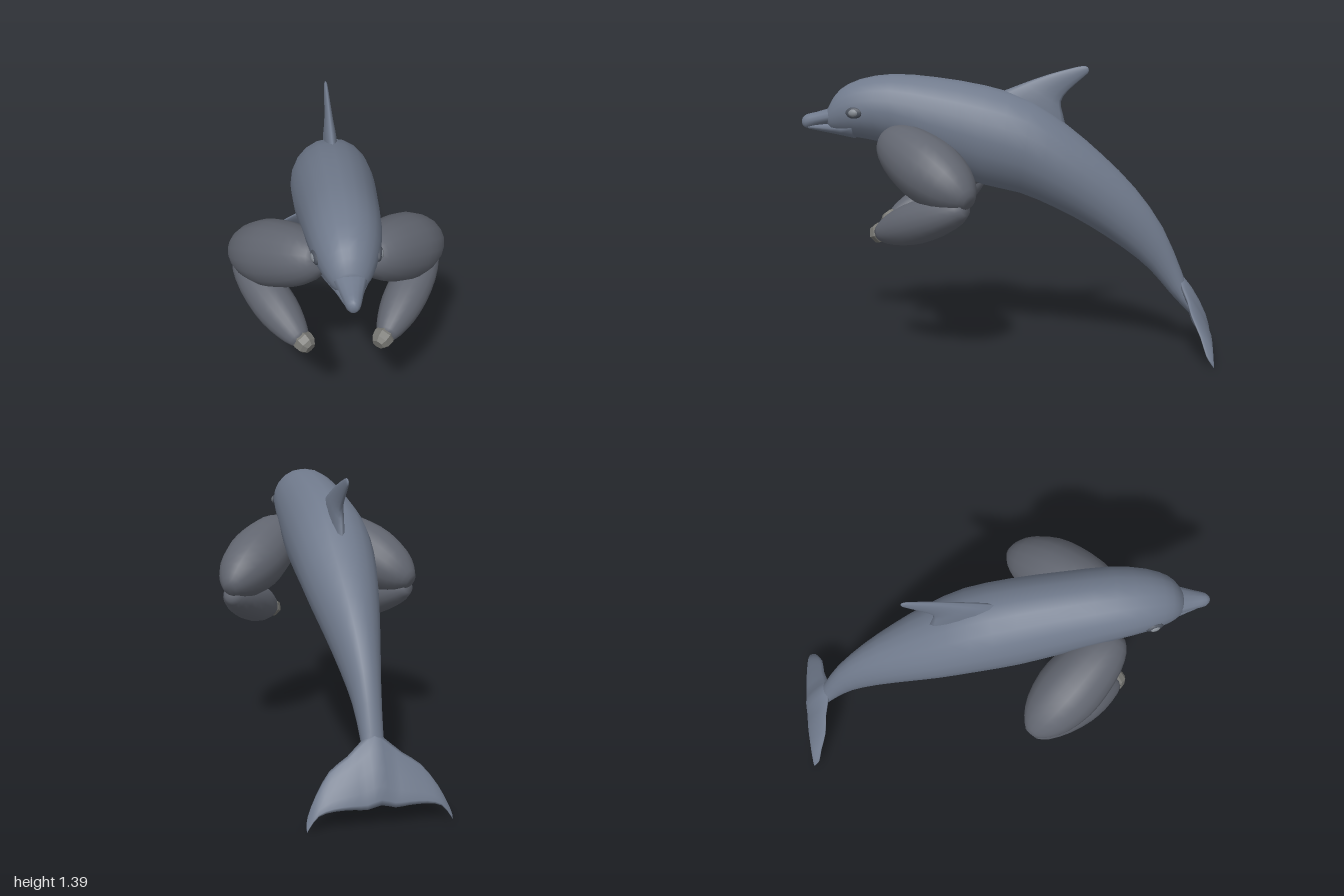
import * as THREE from 'three';

const skin = new THREE.MeshStandardMaterial({ color: 0x707a8c });
const armSkin = new THREE.MeshStandardMaterial({ color: 0x61656f });
const handSkin = new THREE.MeshStandardMaterial({ color: 0x777773, flatShading: true });
const eyeSkin = new THREE.MeshStandardMaterial({ color: 0x858b93 });
const lidSkin = new THREE.MeshStandardMaterial({ color: 0x4c525d });
const V = (x, y, z) => new THREE.Vector3(x, y, z);

// Elliptic loft: each section is [a, b, w] = two opposite rim points and the half-width vector
function loft(name, sections, material, seg = 16, sub = 2) {
  const curves = [0, 1, 2].map(k =>
    new THREE.CatmullRomCurve3(sections.map(s => s[k]), false, 'catmullrom', 0.5));
  const n = (sections.length - 1) * sub;
  const pos = [], idx = [], mids = [];
  for (let i = 0; i <= n; i++) {
    const [a, b, w] = curves.map(c => c.getPoint(i / n));
    const mid = a.clone().add(b).multiplyScalar(0.5), u = a.clone().sub(mid);
    mids.push({ mid, u, w });
    for (let j = 0; j < seg; j++) {
      const t = j / seg * Math.PI * 2;
      pos.push(...mid.clone().addScaledVector(u, Math.cos(t)).addScaledVector(w, Math.sin(t)).toArray());
    }
  }
  const h = n >> 1;
  const along = mids[h + 1 > n ? n : h + 1].mid.clone().sub(mids[h].mid);
  const flip = mids[h].u.clone().cross(mids[h].w).dot(along) < 0;
  const tri = (p, q, r) => flip ? idx.push(p, r, q) : idx.push(p, q, r);
  const c0 = pos.length / 3;
  pos.push(...mids[0].mid.toArray(), ...mids[n].mid.toArray());
  for (let j = 0; j < seg; j++) {
    const k = (j + 1) % seg;
    for (let i = 0; i < n; i++) {
      const p = i * seg + j, q = i * seg + k;
      tri(p, q, q + seg);
      tri(p, q + seg, p + seg);
    }
    tri(c0, k, j);
    tri(c0 + 1, n * seg + j, n * seg + k);
  }
  const g = new THREE.BufferGeometry();
  g.setAttribute('position', new THREE.Float32BufferAttribute(pos, 3));
  g.setIndex(idx);
  g.computeVertexNormals();
  const mesh = new THREE.Mesh(g, material);
  mesh.name = name;
  return mesh;
}

// Rows of top z, top y, bottom z, bottom y, half width, on the centre plane
const centreSections = rows => rows.map(([az, ay, bz, by, w]) => [V(0, ay, az), V(0, by, bz), V(w, 0, 0)]);

// Round limb between two points with a [position, radius] profile
function limb(name, p, q, profile, material, seg, sub) {
  const d = q.clone().sub(p).normalize();
  const u = V(0, 1, 0).addScaledVector(d, -d.y).normalize();
  const v = d.clone().cross(u);
  return loft(name, profile.map(([t, r]) => {
    const m = p.clone().lerp(q, t);
    return [m.clone().addScaledVector(u, r), m.clone().addScaledVector(u, -r), v.clone().multiplyScalar(r)];
  }), material, seg, sub);
}

export function createModel() {
  const model = new THREE.Group();
  model.name = 'dolphinWithArms';

  // Body from forehead to tail stock
  model.add(loft('body', centreSections([
    [0.875, 1.175, 0.865, 1.09, 0.05],
    [0.855, 1.215, 0.845, 1.065, 0.075],
    [0.81, 1.275, 0.79, 1.05, 0.108],
    [0.71, 1.325, 0.69, 1.035, 0.142],
    [0.55, 1.35, 0.55, 1.0, 0.165],
    [0.34, 1.335, 0.33, 0.9, 0.18],
    [0.1, 1.295, 0.12, 0.815, 0.193],
    [-0.12, 1.225, -0.06, 0.775, 0.193],
    [-0.3, 1.1, -0.24, 0.7, 0.173],
    [-0.46, 0.965, -0.4, 0.615, 0.14],
    [-0.62, 0.805, -0.57, 0.505, 0.1],
    [-0.76, 0.61, -0.7, 0.4, 0.067],
    [-0.86, 0.385, -0.8, 0.285, 0.05],
    [-0.91, 0.25, -0.88, 0.2, 0.05],
    [-0.965, 0.15, -0.95, 0.13, 0.03],
  ]), skin, 20));

  // Beak and lower jaw
  model.add(loft('upperBeak', centreSections([
    [0.76, 1.21, 0.76, 1.12, 0.1],
    [0.86, 1.185, 0.86, 1.105, 0.066],
    [0.93, 1.165, 0.93, 1.095, 0.045],
    [0.98, 1.153, 0.98, 1.085, 0.031],
    [1.0, 1.135, 1.0, 1.1, 0.014],
  ]), skin, 12));
  model.add(loft('lowerJaw', centreSections([
    [0.74, 1.14, 0.74, 1.038, 0.11],
    [0.85, 1.12, 0.85, 1.06, 0.062],
    [0.93, 1.11, 0.93, 1.075, 0.036],
    [0.97, 1.105, 0.97, 1.082, 0.02],
  ]), skin, 12));

  // Dorsal fin, swept back
  model.add(loft('dorsalFin', centreSections([
    [0.07, 1.25, -0.29, 1.07, 0.035],
    [-0.04, 1.293, -0.268, 1.16, 0.03],
    [-0.12, 1.323, -0.258, 1.22, 0.022],
    [-0.21, 1.353, -0.29, 1.27, 0.016],
    [-0.3, 1.377, -0.345, 1.32, 0.012],
    [-0.36, 1.39, -0.385, 1.355, 0.008],
    [-0.385, 1.385, -0.39, 1.372, 0.003],
  ]), skin, 12));

  // Tail flukes: x, leading z and y, trailing z and y, thickness
  const fluke = [
    [0, -0.85, 0.37, -0.995, 0.1, 0.028],
    [0.06, -0.855, 0.33, -0.995, 0.085, 0.022],
    [0.12, -0.875, 0.28, -0.995, 0.09, 0.018],
    [0.2, -0.888, 0.225, -0.99, 0.088, 0.014],
    [0.265, -0.925, 0.14, -0.985, 0.07, 0.01],
    [0.305, -0.95, 0.06, -0.985, 0.02, 0.007],
    [0.315, -0.975, 0.025, -0.985, 0.003, 0.003],
  ];
  const side = (s, rows) => rows.map(([x, az, ay, bz, by, t]) =>
    [V(s * x, ay, az), V(s * x, by, bz), V(0, 0.45 * t, -0.89 * t)]);
  model.add(loft('tailFlukes', [...side(-1, fluke).reverse(), ...side(1, fluke.slice(1))], skin, 12));

  for (const [s, label] of [[1, 'left'], [-1, 'right']]) {
    // Bulging arm bent at the elbow
    const arm = new THREE.Group();
    arm.name = label + 'Arm';
    arm.add(limb('upperArm', V(s * 0.1, 1.05, 0.57), V(s * 0.465, 0.805, 0.145), [
      [0, 0.05], [0.06, 0.09], [0.2, 0.128], [0.4, 0.15], [0.6, 0.153],
      [0.8, 0.125], [0.93, 0.08], [1, 0.035],
    ], armSkin, 18));
    arm.add(limb('forearm', V(s * 0.455, 0.775, 0.165), V(s * 0.19, 0.605, 0.595), [
      [0, 0.035], [0.1, 0.066], [0.3, 0.092], [0.55, 0.1], [0.75, 0.088],
      [0.92, 0.062], [1, 0.04],
    ], armSkin, 18));
    arm.add(limb('hand', V(s * 0.2, 0.615, 0.575), V(s * 0.152, 0.59, 0.633), [
      [0, 0.04], [0.35, 0.05], [0.75, 0.045], [1, 0.028],
    ], handSkin, 7, 1));
    model.add(arm);

    // Eye with its surrounding lid
    const eye = new THREE.Group();
    eye.name = label + 'Eye';
    const lid = new THREE.Mesh(new THREE.SphereGeometry(1, 12, 8), lidSkin);
    lid.name = 'eyelid';
    lid.scale.set(0.014, 0.027, 0.042);
    const ball = new THREE.Mesh(new THREE.SphereGeometry(1, 12, 8), eyeSkin);
    ball.name = 'eyeball';
    ball.scale.set(0.014, 0.019, 0.026);
    ball.position.x = s * 0.005;
    eye.add(lid, ball);
    eye.position.set(s * 0.133, 1.172, 0.722);
    eye.rotation.y = -s * 0.22;
    model.add(eye);
  }
  return model;
}
